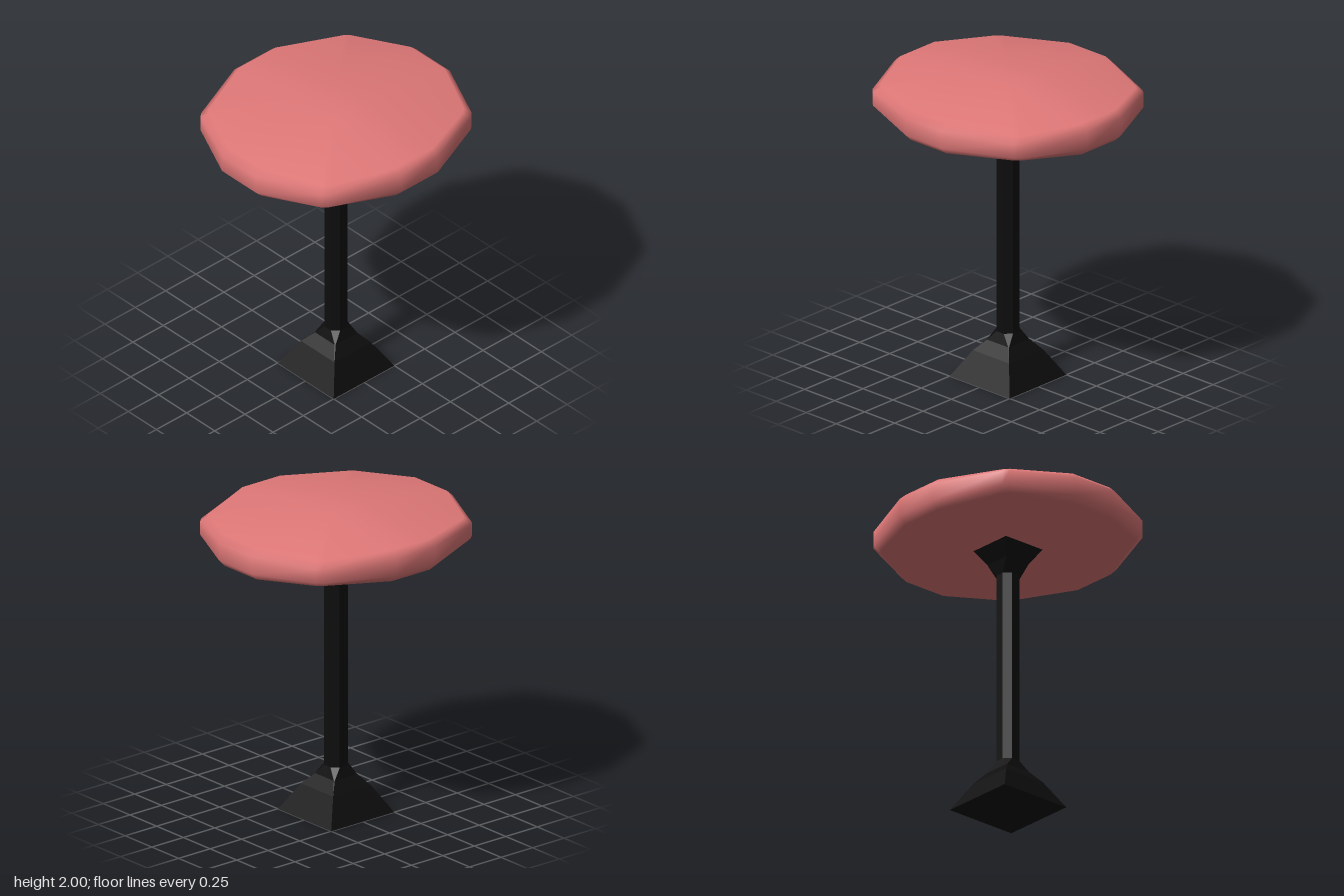
import * as THREE from 'three';
import { mergeVertices } from 'three/addons/utils/BufferGeometryUtils.js';

// Mirrors a quarter outline [x, y, z] into a closed ring around the y axis
function ring(quarter) {
  const back = [...quarter].reverse();
  return [
    ...quarter,
    ...back.map(([x, y, z]) => [-x, y, z]),
    ...quarter.map(([x, y, z]) => [-x, y, -z]),
    ...back.map(([x, y, z]) => [x, y, -z]),
  ];
}

// Skins rings from bottom to top and closes both ends
function loft(rings, smooth) {
  const n = rings[0].length;
  const index = [];
  for (let r = 0; r < rings.length - 1; r++) {
    for (let i = 0; i < n; i++) {
      const a = r * n + i, b = r * n + (i + 1) % n;
      index.push(a, a + n, b, b, a + n, b + n);
    }
  }
  const top = (rings.length - 1) * n;
  for (let i = 1; i < n - 1; i++) {
    index.push(0, i, i + 1, top, top + i + 1, top + i);
  }
  let geometry = new THREE.BufferGeometry();
  geometry.setAttribute('position', new THREE.Float32BufferAttribute(rings.flat(2), 3));
  geometry.setIndex(index);
  geometry = smooth ? mergeVertices(geometry) : geometry.toNonIndexed();
  geometry.computeVertexNormals();
  return geometry;
}

export function createModel() {
  const red = new THREE.MeshStandardMaterial({ color: 0xe07878 });
  red.name = 'soft red';
  const black = new THREE.MeshStandardMaterial({ color: 0x0d0d0d });
  black.name = 'black';
  const group = new THREE.Group();
  group.name = 'table';

  // Rounded top: the rim dips slightly at its corners
  const rim = (inset, y, cornerY) => ring([
    [0.745 - inset, y, 0.15],
    [0.57 - inset * 0.75, cornerY, 0.585 - inset * 0.75],
    [0.54 - inset * 0.75, cornerY, 0.62 - inset * 0.75],
    [0.15, y, 0.8 - inset],
  ]);
  const centre = (y) => ring(Array(4).fill([0.15, y, 0.16]));
  const tableTop = new THREE.Mesh(loft([
    centre(1.725),
    rim(0.045, 1.73, 1.75),
    rim(0, 1.775, 1.785),
    rim(0, 1.89, 1.875),
    rim(0.045, 1.93, 1.91),
    centre(2),
  ], true), red);
  tableTop.name = 'tableTop';
  group.add(tableTop);

  // Pedestal: square flared ends with an eight-sided column between
  const section = ([y, half, flat]) => ring([[half, y, flat], [flat, y, half]]);
  const pedestal = new THREE.Mesh(loft([
    [0, 0.25, 0.25],
    [0.17, 0.15, 0.15],
    [0.24, 0.092, 0.088],
    [0.305, 0.069, 0.029],
    [1.545, 0.069, 0.029],
    [1.63, 0.09, 0.086],
    [1.728, 0.15, 0.15],
  ].map(section), false), black);
  pedestal.name = 'pedestal';
  group.add(pedestal);

  return group;
}
